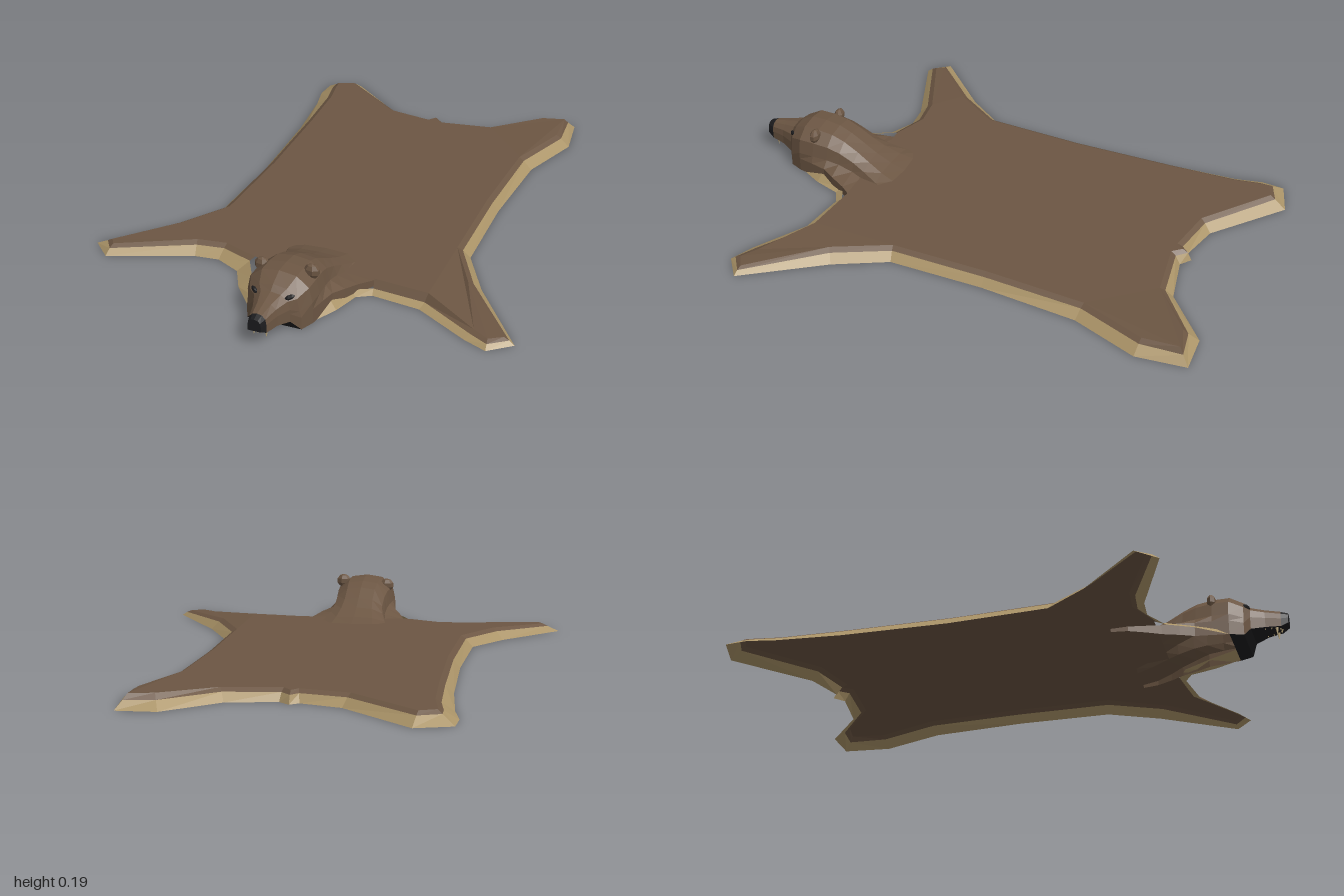
import * as THREE from 'three';

// Hem outline on the floor: x, z, hem width
const OUTLINE = [
  [-0.55, -0.955, 0.055], [-0.42, -1.0, 0.045], [-0.16, -0.79, 0.03], [-0.01, -0.755, 0.02],
  [0.02, -0.78, 0.015], [0.06, -0.75, 0.02], [0.24, -0.79, 0.03], [0.42, -0.95, 0.04],
  [0.565, -0.96, 0.035], [0.59, -0.775, 0.035], [0.505, -0.525, 0.035], [0.485, -0.155, 0.025],
  [0.495, 0.205, 0.028], [0.6, 0.395, 0.03], [0.805, 0.675, 0.02], [0.725, 0.74, 0.02],
  [0.64, 0.705, 0.025], [0.44, 0.59, 0.03], [0.26, 0.57, 0.025], [0.21, 0.6, 0.03],
  [0.18, 0.7, 0.03], [0.13, 0.8, 0.03], [0.09, 0.84, 0.03], [-0.055, 0.84, 0.03],
  [-0.1, 0.8, 0.03], [-0.195, 0.69, 0.05], [-0.245, 0.6, 0.05], [-0.34, 0.555, 0.035],
  [-0.43, 0.565, 0.03], [-0.73, 0.685, 0.025], [-0.805, 0.615, 0.045], [-0.595, 0.395, 0.035],
  [-0.49, 0.24, 0.03], [-0.48, -0.13, 0.025], [-0.5, -0.525, 0.03], [-0.53, -0.765, 0.045],
  [-0.555, -0.87, 0.05],
];
// Outline points between these two belong to the neck opening
const NECK_START = 18, NECK_END = 26;

// Head and neck sections: z, half width, half width at the base, top, bottom
const SECTIONS = [
  [0.4, 0.16, 0.26, 0.042, 0], [0.46, 0.14, 0.25, 0.06, 0], [0.52, 0.12, 0.22, 0.088, 0],
  [0.57, 0.11, 0.19, 0.117, 0], [0.63, 0.11, 0.165, 0.152, 0], [0.68, 0.115, 0.14, 0.172, 0],
  [0.74, 0.12, 0.13, 0.18, 0], [0.8, 0.12, 0.12, 0.18, 0], [0.85, 0.095, 0.1, 0.155, 0],
  [0.87, 0.068, 0.068, 0.138, 0.035], [0.92, 0.046, 0.046, 0.126, 0.045],
  [0.975, 0.032, 0.032, 0.115, 0.048], [1.0, 0.024, 0.024, 0.106, 0.062],
];
const MOUTH_START = 7;
const HEAD_X = 0.018;

function flatMesh(name, points, material) {
  const geometry = new THREE.BufferGeometry().setFromPoints(points);
  geometry.computeVertexNormals();
  const mesh = new THREE.Mesh(geometry, material);
  mesh.name = name;
  return mesh;
}

function place(name, geometry, material, x, y, z, sx = 1, sy = 1, sz = 1) {
  const flat = geometry.toNonIndexed();
  flat.computeVertexNormals();
  const mesh = new THREE.Mesh(flat, material);
  mesh.name = name;
  mesh.position.set(x, y, z);
  mesh.scale.set(sx, sy, sz);
  return mesh;
}

// Upper edge of the hem; the right foreleg lies lowest
function hemHeight(x, z) {
  if (x > 0.2 && z > 0.5) return 0.014;
  return x < -0.68 ? 0.02 : 0.03;
}

// Edge of the flat fur
function furHeight(x, z) {
  if (x > 0.4 && z < -0.85) return 0.05;
  if (x > 0.62 && z > 0.5) return 0.022;
  return x < -0.68 ? 0.03 : 0.042;
}

// The rug is an open shell, hollow underneath
function buildRug(fur, hem) {
  const n = OUTLINE.length;
  const outer = OUTLINE.map(([x, z]) => new THREE.Vector3(x, 0, z));
  // Inset each point along the average of its two edge normals
  const inset = (extra, height) => outer.map((p, i) => {
    const d1 = p.clone().sub(outer[(i + n - 1) % n]).normalize();
    const d2 = outer[(i + 1) % n].clone().sub(p).normalize();
    const d = d1.add(d2).normalize();
    const w = OUTLINE[i][2] + extra;
    return new THREE.Vector3(p.x - d.z * w, height(p.x, p.z), p.z + d.x * w);
  });
  const rim = inset(0, hemHeight);
  const edge = inset(0.02, furHeight);

  const strip = (a, b, i, j) => [a[i], b[i], a[j], a[j], b[i], b[j]];
  const hemFaces = [], furFaces = [];
  for (let i = 0; i < n; i++) {
    const j = (i + 1) % n;
    hemFaces.push(...strip(outer, rim, i, j));
    if (i < NECK_START || i >= NECK_END) furFaces.push(...strip(rim, edge, i, j));
  }
  const ring = edge.filter((p, i) => i <= NECK_START || i >= NECK_END);
  const flat = ring.map((p) => new THREE.Vector2(p.x, p.z));
  for (const [a, b, c] of THREE.ShapeUtils.triangulateShape(flat, [])) {
    const [A, B, C] = [ring[a], ring[b], ring[c]];
    const up = B.clone().sub(A).cross(C.clone().sub(A)).y > 0;
    furFaces.push(A, up ? B : C, up ? C : B);
  }
  const rug = new THREE.Group();
  rug.name = 'rug';
  rug.add(flatMesh('rugFur', furFaces, fur), flatMesh('rugHem', hemFaces, hem));
  return rug;
}

function buildHead(fur, black, ivory) {
  const head = new THREE.Group();
  head.name = 'head';
  const rings = SECTIONS.map(([z, w, base, top, bottom]) => {
    const profile = [[base, 0], [base, 0.3], [w, 0.45], [0.9 * w, 0.75], [0.53 * w, 0.95], [0, 1]];
    const side = (s) => profile.map(([x, f]) =>
      new THREE.Vector3(HEAD_X + s * x, bottom + f * (top - bottom), z));
    return [...side(1), ...side(-1).reverse().slice(1)];
  });
  const last = rings[0].length - 1;
  const skin = [], nose = [], mouth = [];
  for (let s = 0; s < rings.length - 1; s++) {
    const [r, q] = [rings[s], rings[s + 1]];
    const faces = s === rings.length - 2 ? nose : skin;
    for (let j = 0; j < last; j++) faces.push(r[j], r[j + 1], q[j], q[j], r[j + 1], q[j + 1]);
    // Open mouth under the muzzle
    if (s >= MOUTH_START) mouth.push(r[last], r[0], q[last], q[last], r[0], q[0]);
  }
  const tip = rings[rings.length - 1];
  for (let j = 1; j < last; j++) nose.push(tip[0], tip[j], tip[j + 1]);
  head.add(
    flatMesh('headAndNeck', skin, fur),
    flatMesh('nose', nose, black),
    flatMesh('mouth', mouth, black),
  );

  for (const s of [-1, 1]) {
    // Ears, with the head tilted slightly
    head.add(place('ear', new THREE.SphereGeometry(1, 7, 5), fur,
      HEAD_X + s * 0.092, 0.155 + s * 0.007, 0.738, 0.03, 0.028, 0.018));
    const eye = place('eye', new THREE.SphereGeometry(1, 6, 4), black,
      HEAD_X + s * 0.064, 0.124, 0.86, 0.019, 0.009, 0.008);
    eye.rotation.set(0, s * 0.6, s * 0.3);
    head.add(eye);
  }

  // Teeth along the muzzle, with a long fang on each side
  for (let i = -4; i <= 4; i++) {
    const angle = i * 0.38;
    const fang = Math.abs(i) === 2;
    const length = fang ? 0.036 : 0.016;
    const tooth = place('tooth', new THREE.ConeGeometry(fang ? 0.008 : 0.005, length, 5), ivory,
      HEAD_X + Math.sin(angle) * 0.033, 0.054 - length / 2, 0.915 + Math.cos(angle) * 0.06);
    tooth.rotation.x = Math.PI;
    head.add(tooth);
  }
  return head;
}

export function createModel() {
  const material = (name, color) => {
    const m = new THREE.MeshStandardMaterial({ color, side: THREE.DoubleSide });
    m.name = name;
    return m;
  };
  const fur = material('brown fur', 0x6c5643);
  const hem = material('tan hem', 0xab9468);
  const black = material('black', 0x1c1c1e);
  const ivory = material('ivory', 0xc2ad80);

  const model = new THREE.Group();
  model.name = 'bearskinRug';
  model.add(buildRug(fur, hem), buildHead(fur, black, ivory));
  return model;
}
